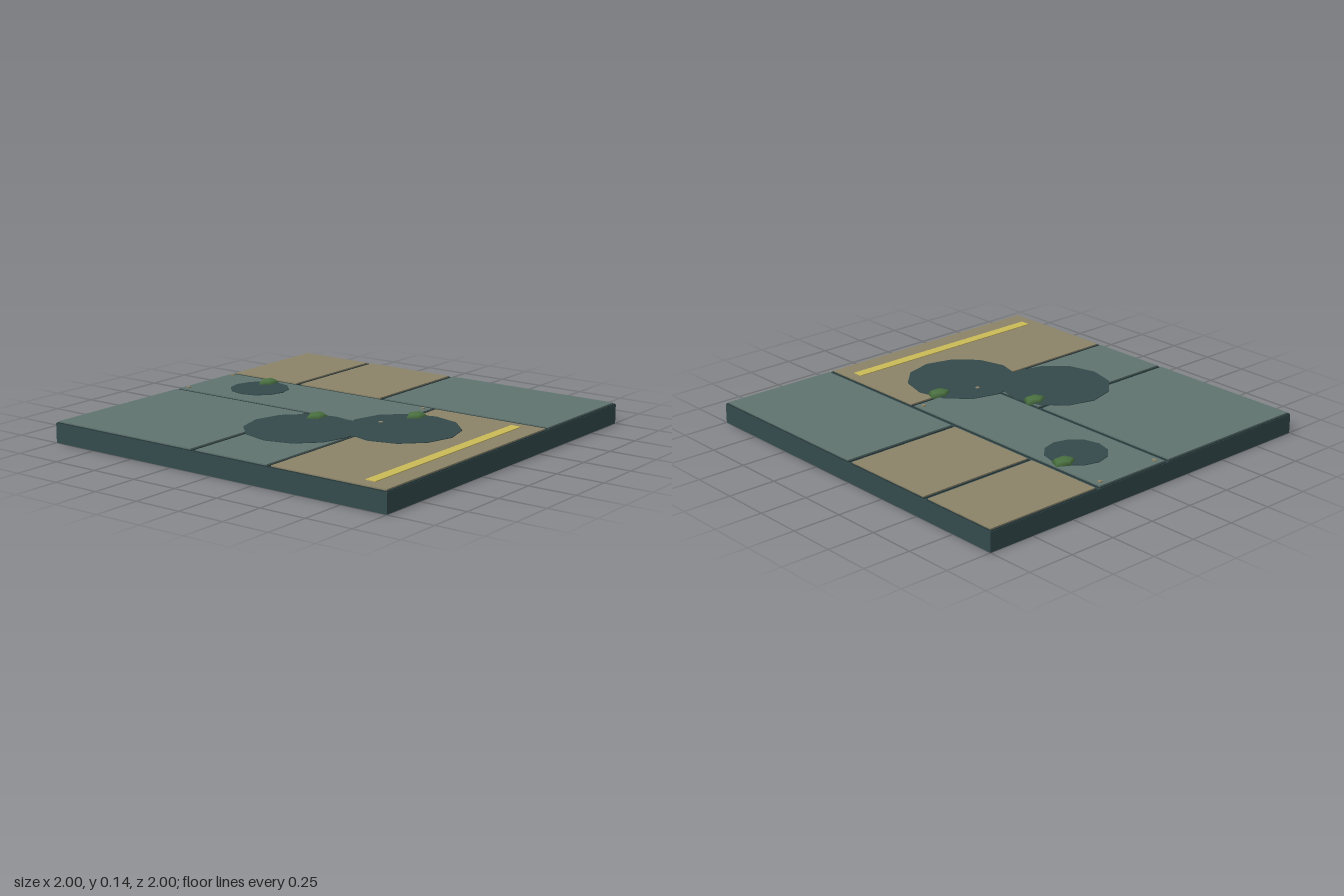
import * as THREE from 'three';

export function createModel() {
  const model = new THREE.Group();
  model.name = 'floorTile';

  const material = (name, color) => {
    const m = new THREE.MeshStandardMaterial({ color });
    m.name = name;
    return m;
  };
  const slate = material('dark slate', 0x344a4c);
  const seam = material('seam shadow', 0x2a3b3d);
  const teal = material('grey teal', 0x60746f);
  const tan = material('dull tan', 0x8c8468);
  const yellow = material('worn yellow', 0xcbba58);
  const green = material('moss green', 0x4a7040);

  const add = (name, geometry, mat, x, y, z) => {
    const mesh = new THREE.Mesh(geometry, mat);
    mesh.name = name;
    mesh.position.set(x, y, z);
    model.add(mesh);
    return mesh;
  };
  // Box given by its x, y and z ranges
  const slab = (name, mat, x0, x1, y0, y1, z0, z1) =>
    add(name, new THREE.BoxGeometry(x1 - x0, y1 - y0, z1 - z0), mat,
      (x0 + x1) / 2, (y0 + y1) / 2, (z0 + z1) / 2);

  slab('base', slate, -1, 1, 0, 0.1, -1, 1);

  // Floor panels, each on a slightly wider dark backing: x0, x1, z0, z1
  const panels = [
    [teal, -0.99, -0.13, -0.99, -0.13],
    [teal, -0.99, -0.13, -0.1, 0.325],
    [teal, -0.1, 0.325, -0.99, 0.325],
    [tan, -0.99, 0.325, 0.35, 0.99],
    [tan, 0.355, 0.99, -0.99, -0.57],
    [tan, 0.355, 0.99, -0.54, -0.02],
    [teal, 0.355, 0.99, 0.01, 0.99],
  ];
  const rim = 0.007;
  for (const [mat, x0, x1, z0, z1] of panels) {
    slab('panelBacking', seam, x0 - rim, x1 + rim, 0.1, 0.104, z0 - rim, z1 + rim);
    slab('panel', mat, x0, x1, 0.104, 0.11, z0, z1);
  }

  // Twelve-sided damp patches: x, z, radius
  for (const [x, z, r] of [[-0.39, 0.05, 0.283], [-0.095, 0.443, 0.287], [0.14, -0.645, 0.155]]) {
    add('dampPatch', new THREE.CylinderGeometry(r, r, 0.004, 12), slate, x, 0.1115, z);
  }

  slab('warningStripe', yellow, -0.925, 0.27, 0.109, 0.114, 0.83, 0.885);

  // Rivets at the corners of the middle panel
  for (const x of [-0.065, 0.295]) {
    for (const z of [-0.96, 0.29]) {
      add('rivet', new THREE.CylinderGeometry(0.012, 0.012, 0.008, 6), tan, x, 0.112, z);
    }
  }

  // Five-sided moss clumps, one corner pointing back
  const mossShape = new THREE.SphereGeometry(1, 5, 4);
  mossShape.rotateY(-Math.PI / 2);
  for (const [x, z] of [[-0.165, -0.03], [0.265, -0.69], [0.135, 0.36]]) {
    add('mossClump', mossShape, green, x, 0.112, z).scale.set(0.067, 0.024, 0.05);
  }

  return model;
}
